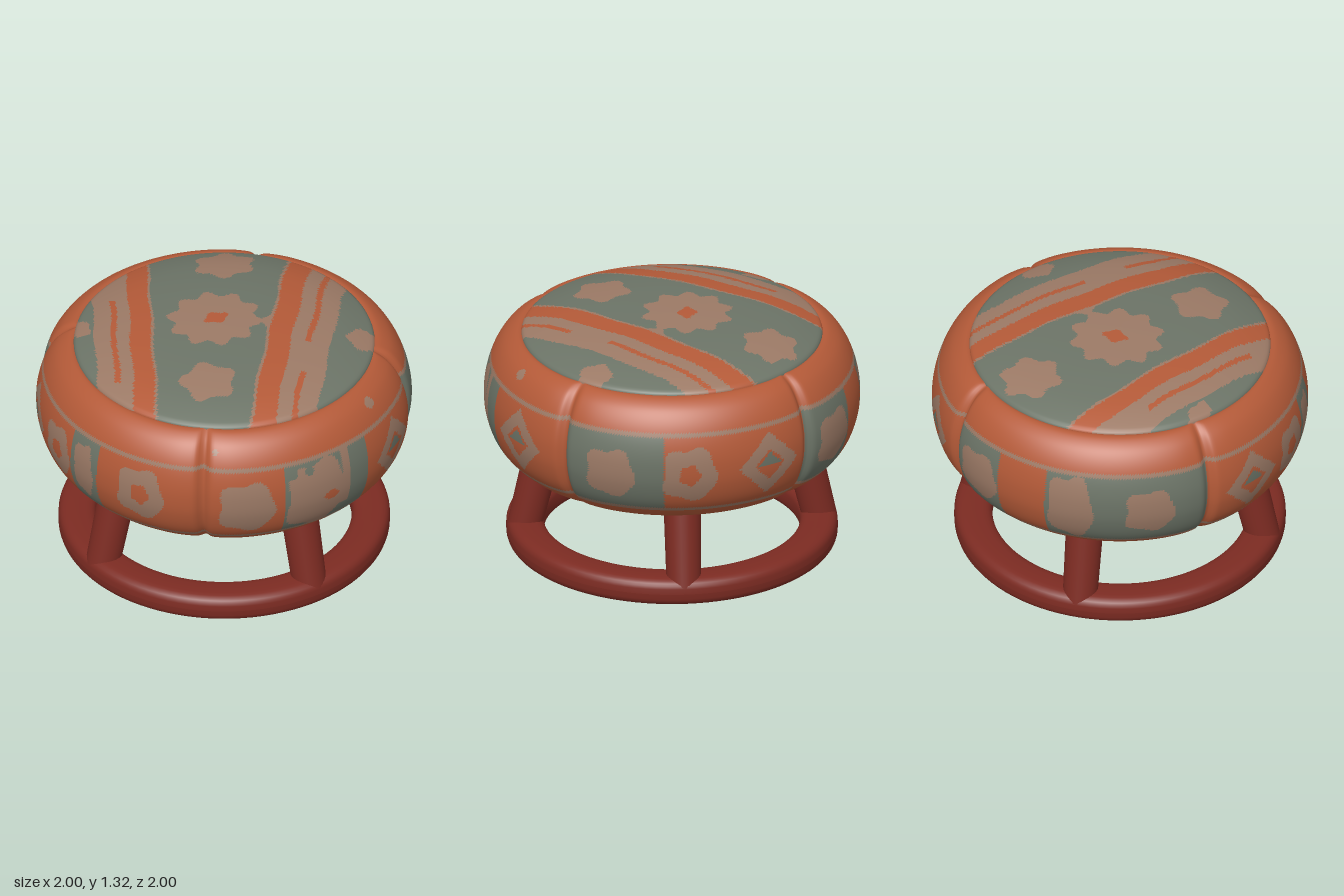
import * as THREE from 'three';

const paint = (name, color) => Object.assign(new THREE.MeshStandardMaterial({ color }), { name });
const TERRACOTTA = 0, TAN = 1, SAGE = 2;
const fabrics = [paint('terracotta', 0xb45a38), paint('tan', 0x9c7a66), paint('sage', 0x6c7467)];
const wood = paint('redWood', 0x7c2b22);
const RAD = Math.PI / 180;

// Signed difference of two angles in degrees
const angleGap = (a, b) => ((a - b + 540) % 360 + 360) % 360 - 180;

// Normalised distance inside a wavy-edged blob (below 1 is inside)
function blob(dx, dy, hw, hh, lobes = 5, wave = 0.1, power = 2) {
  const u = Math.abs(dx) / hw, v = Math.abs(dy) / hh;
  const d = Math.pow(u ** power + v ** power, 1 / power);
  return d / (1 + wave * Math.cos(lobes * Math.atan2(dy / hh, dx / hw) + 0.6));
}

// Surface turned from a profile (bottom to top), coloured triangle by triangle
function paintedSurface(name, profile, cols, paintAt, scaleAt = () => 1) {
  const pos = [], buckets = [[], [], []];
  for (const p of profile) {
    for (let i = 0; i < cols; i++) {
      const a = i / cols * Math.PI * 2, r = p.x * scaleAt(a / RAD, p);
      pos.push(Math.sin(a) * r, p.y, Math.cos(a) * r);
    }
  }
  const addFace = (a, b, c) => {
    const mid = k => (pos[a * 3 + k] + pos[b * 3 + k] + pos[c * 3 + k]) / 3;
    buckets[paintAt(mid(0), mid(1), mid(2))].push(a, b, c);
  };
  for (let j = 0; j < profile.length - 1; j++) {
    for (let i = 0; i < cols; i++) {
      const n = (i + 1) % cols, a = j * cols + i, b = j * cols + n;
      addFace(a, b, b + cols);
      addFace(a, b + cols, a + cols);
    }
  }
  const geo = new THREE.BufferGeometry();
  geo.setAttribute('position', new THREE.Float32BufferAttribute(pos, 3));
  geo.setIndex(buckets.flat());
  let start = 0;
  buckets.forEach((b, k) => { geo.addGroup(start, b.length, k); start += b.length; });
  geo.computeVertexNormals();
  const mesh = new THREE.Mesh(geo, fabrics);
  mesh.name = name;
  return mesh;
}

const spline = (pts, n) => new THREE.SplineCurve(pts.map(p => new THREE.Vector2(...p))).getSpacedPoints(n);

// Side band: background colour from each angle up to the next
const panels = [
  [-180, TERRACOTTA], [-178, SAGE], [-125, TERRACOTTA], [-80, SAGE], [-68, TERRACOTTA],
  [-6, SAGE], [25, TERRACOTTA], [60, SAGE], [93, TERRACOTTA], [143, SAGE], [165, TERRACOTTA]];
// Motifs: angle, height, half angle, half height, has terracotta heart
const blobs = [
  [-18, 0.82, 8.5, 0.155, false], [5, 0.82, 10, 0.21, false], [76, 0.82, 7.5, 0.135, false],
  [101, 0.83, 8, 0.15, true], [156, 0.83, 8, 0.14, false], [-170, 0.83, 7, 0.2, false],
  [-145, 0.83, 7.5, 0.13, false], [-88, 0.84, 7, 0.14, true], [-74, 0.84, 4, 0.16, false],
  [-52, 0.85, 7.5, 0.15, true]];
const diamonds = [40, 127, -109];

function paintSide(x, y, z) {
  const a = Math.atan2(x, z) / RAD;
  const near = (c, h, ra, rh) => Math.hypot(angleGap(a, c) / ra, (y - h) / rh) < 1;
  if (y > 1.065 || y < 0.585) return near(33, 1.155, 2, 0.025) || near(-28, 1.14, 1, 0.015) ? TAN : TERRACOTTA;
  if (y > 1.04 || y < 0.61) return TAN;
  // Diamonds with a terracotta ring and a split centre
  for (const c of diamonds) {
    const d = Math.abs(angleGap(a, c)) / 10.5 + Math.abs(y - 0.835) / 0.185;
    if (d < 0.38) return y > 0.83 ? SAGE : TERRACOTTA;
    if (d < 0.5) return TERRACOTTA;
    if (d < 1) return TAN;
  }
  if (near(10, 0.8, 2.6, 0.03)) return TERRACOTTA;
  if (near(-3, 0.99, 1.5, 0.025) || near(2.5, 0.99, 1.5, 0.025)) return SAGE;
  for (const [c, h, ra, rh, heart] of blobs) {
    const dx = angleGap(a, c), dy = y - h;
    if (heart && blob(dx, dy, ra * 0.4, rh * 0.4) < 1) return TERRACOTTA;
    if (blob(dx, dy, ra, rh, 5, 0.08, 3) < 1) return TAN;
  }
  if (a > 14 && a < 17 && y > 0.7) return TAN;
  return panels.filter(p => p[0] <= a).pop()[1];
}

// Top pad: slanted stripes either side of scattered flowers
function paintTop(x, y, z) {
  const wob = 0.006 * Math.sin(11 * x - 9 * z);
  const l = 0.92 * x + 0.39 * z + wob, r = 0.84 * x + 0.543 * z + wob;
  if (blob(x + 0.01, z + 0.08, 0.065, 0.045, 4, 0.15) < 1) return TERRACOTTA;
  if (blob(x + 0.02, z + 0.08, 0.235, 0.225, 10, 0.1) < 1) return TAN;
  if (blob(x - 0.28, z - 0.07, 0.09, 0.06) < 1 && r < 0.235) return TAN;
  if (blob(x - 0.26, z + 0.55, 0.155, 0.14, 6, 0.12) < 1) return TAN;
  if (blob(x + 0.28, z - 0.4, 0.14, 0.14, 5, 0.13) < 1) return TAN;
  if (blob(x - 0.66, z - 0.35, 0.09, 0.09) < 1) return TAN;
  if (blob(x + 0.66, z + 0.4, 0.05, 0.09) < 1) return TAN;
  const along = z - x;
  if (l < -0.69) return SAGE;
  if (l < -0.6) return TAN;
  if (l < -0.57) return along > -0.1 && along < 0.85 ? TERRACOTTA : TAN;
  if (l < -0.5) return TAN;
  if (l < -0.39) return TERRACOTTA;
  if (l < -0.376) return TAN;
  if (r > 0.58) return SAGE;
  if (r > 0.37) return r > 0.45 && r < 0.48 && (along < -0.05 || along > 0.3) ? TERRACOTTA : TAN;
  if (r > 0.25) return TERRACOTTA;
  return r > 0.235 ? TAN : SAGE;
}

export function createModel() {
  const model = new THREE.Group();

  // Padded seat body, pinched at four vertical seams
  const seams = [-32, 59, 143, -125];
  const bodyProfile = spline([[0.5, 0.45], [0.64, 0.458], [0.75, 0.485], [0.86, 0.545], [0.945, 0.64],
    [0.99, 0.76], [1.0, 0.88], [0.985, 0.99], [0.95, 1.09], [0.9, 1.165], [0.84, 1.208], [0.8, 1.212], [0.775, 1.18]], 100);
  model.add(paintedSurface('seatBody', bodyProfile, 420, paintSide, (a, p) => {
    const fade = THREE.MathUtils.smoothstep(p.x, 0.7, 0.85);
    return seams.reduce((s, c) => {
      const g = angleGap(a, c);
      return s - fade * (0.035 * Math.exp(-((g / 1.6) ** 2)) + 0.012 * Math.exp(-((g / 6) ** 2)));
    }, 1);
  }));

  // Underside
  const base = new THREE.Mesh(new THREE.CircleGeometry(0.505, 64), fabrics[TERRACOTTA]);
  base.rotation.x = Math.PI / 2;
  base.position.y = 0.45;
  base.name = 'seatUnderside';
  model.add(base);

  // Domed top pad
  const padProfile = spline([[0.79, 1.17], [0.8, 1.215], [0.76, 1.24], [0.62, 1.279],
    [0.42, 1.306], [0.2, 1.318], [0, 1.322]], 64);
  model.add(paintedSurface('topPad', padProfile, 240, paintTop));

  // Foot ring with a rounded rectangular section
  const section = [];
  for (let i = 0; i <= 28; i++) {
    const t = i / 28 * Math.PI * 2, c = Math.cos(t), s = Math.sin(t);
    section.push(new THREE.Vector2(0.78 + 0.102 * Math.sign(c) * Math.abs(c) ** 0.65,
      0.078 + 0.078 * Math.sign(s) * Math.abs(s) ** 0.65));
  }
  const ring = new THREE.Mesh(new THREE.LatheGeometry(section, 96), wood);
  ring.name = 'footRing';
  model.add(ring);

  // Four splayed legs
  const up = new THREE.Vector3(0, 1, 0);
  for (let k = 0; k < 4; k++) {
    const a = (10 + 90 * k) * RAD;
    const at = (r, y) => new THREE.Vector3(Math.sin(a) * r, y, Math.cos(a) * r);
    const top = at(0.69, 0.52), foot = at(0.79, 0.09), axis = top.clone().sub(foot);
    const leg = new THREE.Mesh(new THREE.CylinderGeometry(0.1, 0.092, axis.length(), 28), wood);
    leg.position.copy(top).add(foot).multiplyScalar(0.5);
    leg.quaternion.setFromUnitVectors(up, axis.normalize());
    leg.name = 'leg' + (k + 1);
    model.add(leg);
  }
  return model;
}
